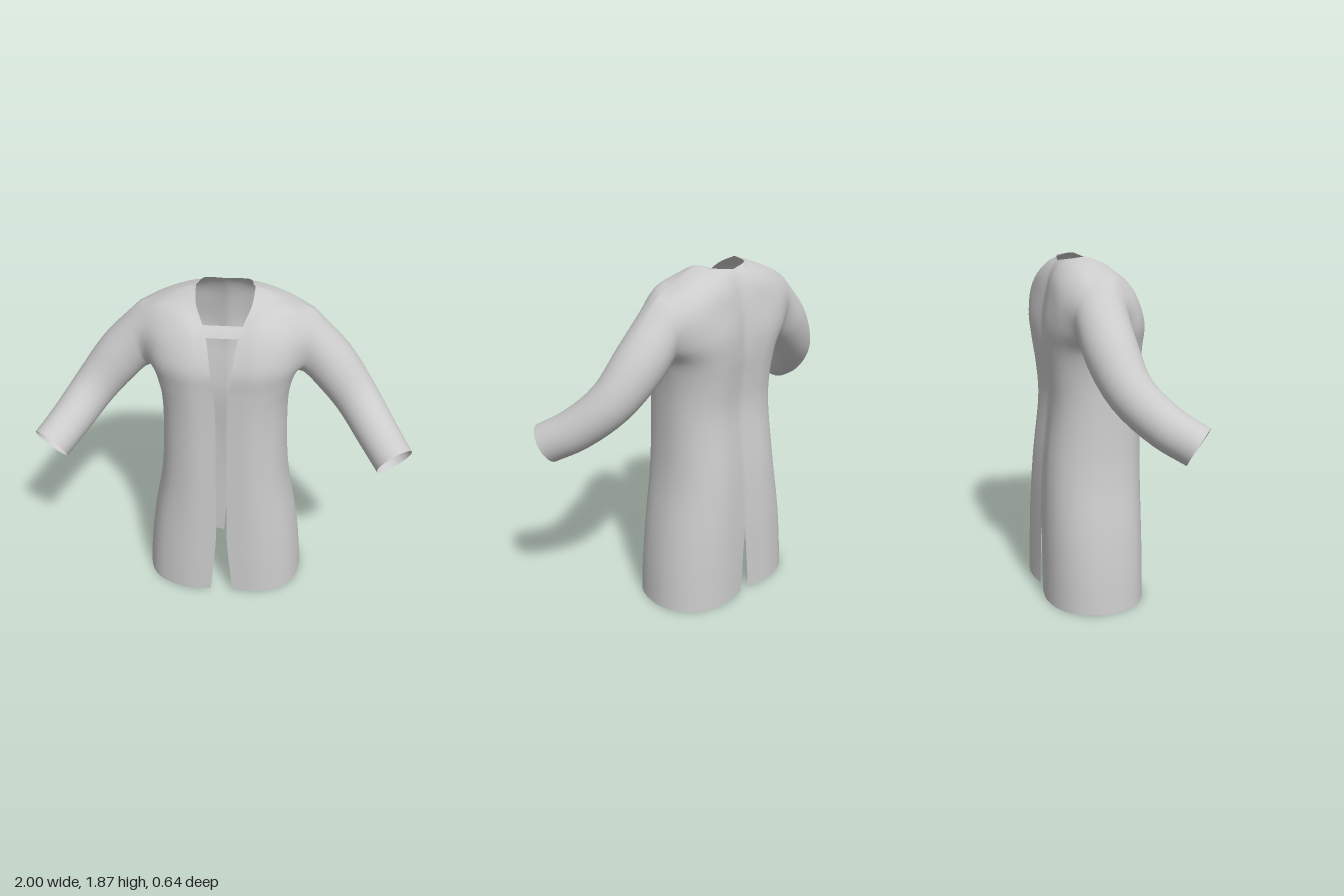
import * as THREE from 'three';
import { mergeGeometries, mergeVertices } from 'three/addons/utils/BufferGeometryUtils.js';

const SUB = 4; // subdivisions between control points
const V = (p) => new THREE.Vector3(...p);

// Smooth samples through control points, SUB steps per segment
function sample(points) {
  const curve = new THREE.CatmullRomCurve3(points);
  const n = (points.length - 1) * SUB;
  return Array.from({ length: n + 1 }, (_, i) => curve.getPoint(i / n));
}

// Smooths a stack of rows along its columns: result[j][i]
function smoothColumns(rows) {
  const cols = rows[0].map((_, i) => sample(rows.map((r) => r[i])));
  return cols[0].map((_, j) => cols.map((c) => c[j]));
}

// Triangulated sheet from a grid of points
function sheet(grid, flip) {
  const w = grid[0].length, index = [];
  for (let j = 0; j < grid.length - 1; j++) {
    for (let i = 0; i < w - 1; i++) {
      const a = j * w + i, b = a + 1, d = a + w, c = d + 1;
      index.push(...(flip ? [a, c, b, a, d, c] : [a, b, c, a, c, d]));
    }
  }
  const g = new THREE.BufferGeometry().setFromPoints(grid.flat());
  g.setIndex(index);
  return g;
}

const mirrored = (grid) => grid.map((r) => r.map((p) => new THREE.Vector3(-p.x, p.y, p.z)));

// Lower body sections: height, half width, front z, back z, front gap, back vent
const SECTIONS = [
  [0, 0.46, 0.235, -0.312, 0.065, 0.03],
  [0.2, 0.445, 0.235, -0.31, 0.046, 0.016],
  [0.43, 0.415, 0.233, -0.306, 0.03, 0],
  [0.75, 0.36, 0.232, -0.29, 0.03, 0],
  [1.1, 0.34, 0.23, -0.255, 0.03, 0],
  [1.28, 0.345, 0.232, -0.268, 0.031, 0],
  [1.4, 0.37, 0.235, -0.283, 0.04, 0],
];

// Chest rows from the front opening to the armhole, rising to the shoulder line
const CHEST = [
  [[0.055, 1.53, 0.235], [0.19, 1.53, 0.238], [0.33, 1.52, 0.17], [0.41, 1.47, 0.04]],
  [[0.08, 1.69, 0.17], [0.18, 1.68, 0.187], [0.32, 1.65, 0.15], [0.43, 1.58, 0.065]],
  [[0.1, 1.74, 0.13], [0.19, 1.755, 0.13], [0.32, 1.73, 0.095], [0.445, 1.66, 0.045]],
  [[0.14, 1.82, 0.055], [0.23, 1.81, 0.04], [0.34, 1.785, 0.02], [0.45, 1.72, -0.01]],
  [[0.15, 1.87, -0.05], [0.25, 1.835, -0.055], [0.35, 1.79, -0.065], [0.45, 1.75, -0.075]],
];

// Upper back rows from the armhole to the centre back, ending at shoulder and neck rim
const UPPER_BACK = [
  [[0.41, 1.47, -0.17], [0.37, 1.5, -0.22], [0.3, 1.52, -0.265], [0.19, 1.53, -0.29], [0.09, 1.53, -0.285], [0, 1.53, -0.265]],
  [[0.43, 1.58, -0.21], [0.37, 1.63, -0.235], [0.29, 1.65, -0.26], [0.18, 1.66, -0.268], [0.09, 1.66, -0.265], [0, 1.66, -0.25]],
  [[0.445, 1.66, -0.195], [0.37, 1.715, -0.205], [0.27, 1.75, -0.225], [0.17, 1.77, -0.235], [0.09, 1.76, -0.24], [0, 1.76, -0.225]],
  [[0.45, 1.72, -0.145], [0.36, 1.775, -0.145], [0.26, 1.815, -0.155], [0.16, 1.84, -0.165], [0.09, 1.825, -0.2], [0, 1.815, -0.2]],
  [[0.45, 1.75, -0.075], [0.35, 1.79, -0.065], [0.25, 1.835, -0.055], [0.15, 1.87, -0.05], [0.12, 1.862, -0.145], [0, 1.845, -0.18]],
];

// Sleeve centres and radii beyond the armhole, ending at the cuff
const SLEEVE = [
  [0.55, 1.45, -0.065, 0.135],
  [0.7, 1.27, -0.01, 0.118],
  [0.82, 1.13, 0.12, 0.11],
  [0.91, 1.045, 0.25, 0.105],
];

// Front and back panels of the left half, sharing side and shoulder seams
function bodyPanels() {
  const fronts = [], backs = [], seam = 3 * SUB;
  for (const [y, w, zf, zb, gap, vent] of SECTIONS) {
    const ring = sample([
      [gap, zf], [0.5 * w, zf - 0.003], [0.87 * w, 0.6 * zf], [w, -0.05],
      [0.92 * w, 0.6 * zb], [0.72 * w, 0.88 * zb], [0.45 * w, zb], [0.22 * w, 0.985 * zb], [vent, 0.94 * zb],
    ].map(([x, z]) => new THREE.Vector3(x, y, z)));
    fronts.push(ring.slice(0, seam + 1));
    backs.push(ring.slice(seam));
  }
  CHEST.forEach((row) => fronts.push(sample(row.map(V))));
  UPPER_BACK.forEach((row) => backs.push(sample(row.map(V))));
  const front = smoothColumns(fronts), back = smoothColumns(backs);

  const armpit = (SECTIONS.length - 1) * SUB, top = front.length - 1;
  for (let j = 0; j <= armpit; j++) back[j][0].copy(front[j][seam]);
  for (let i = 0; i <= seam; i++) back[top][i].copy(front[top][seam - i]);
  back.forEach((r) => { const p = r[r.length - 1]; p.x = Math.max(0, p.x); });
  for (let j = 2 * SUB; j <= top; j++) back[j][back[j].length - 1].x = 0;

  // Armhole loop: armpit, up the front, over the shoulder, down the back
  const armhole = [];
  for (let j = armpit; j <= top; j++) armhole.push(front[j][seam]);
  for (let j = top - 1; j >= armpit; j--) armhole.push(back[j][0]);
  return { front, back, armhole };
}

// Sleeve lofted from the armhole loop through round sections to the cuff
function sleeveGrid(armhole) {
  const path = new THREE.CatmullRomCurve3([V([0.41, 1.57, -0.07]), ...SLEEVE.map((s) => V(s.slice(0, 3)))]);
  const rings = [armhole];
  SLEEVE.forEach(([x, y, z, r], k) => {
    const last = k === SLEEVE.length - 1;
    const t = last ? V([0.51, -0.48, 0.7]).normalize() : path.getTangent((k + 1) / SLEEVE.length);
    const up = V([0.7, 0.7, 0]);
    up.addScaledVector(t, -up.dot(t)).normalize();
    const side = t.clone().cross(up);
    rings.push(armhole.map((_, i) => {
      const a = (i % (armhole.length - 1)) / (armhole.length - 1) * Math.PI * 2;
      return new THREE.Vector3(x, y, z)
        .addScaledVector(up, -r * Math.cos(a))
        .addScaledVector(side, r * Math.sin(a));
    }));
  });
  return smoothColumns(rings);
}

export function createModel() {
  const { front, back, armhole } = bodyPanels();
  const sleeve = sleeveGrid(armhole);

  // Strap joining the two fronts just below the neck
  const strapStart = SECTIONS.length * SUB + SUB;
  const strap = front.slice(strapStart, strapStart + SUB + 1).map(([p]) =>
    [-1, -0.5, 0, 0.5, 1].map((k) => new THREE.Vector3(p.x * k, p.y, p.z)));

  const parts = [['collarStrap', sheet(strap)]];
  for (const [name, grid, flip] of [['FrontPanel', front, false], ['BackPanel', back, false], ['Sleeve', sleeve, true]]) {
    parts.push(['left' + name, sheet(grid, flip)], ['right' + name, sheet(mirrored(grid), !flip)]);
  }

  // Weld everything for continuous normals, then give each part its own faces
  const welded = mergeVertices(mergeGeometries(parts.map((p) => p[1])), 1e-4);
  welded.computeVertexNormals();
  const all = Array.from(welded.index.array);
  const material = new THREE.MeshStandardMaterial({ color: 0xcccccc, side: THREE.DoubleSide });
  const coat = new THREE.Group();
  coat.name = 'coat';
  let start = 0;
  for (const [name, g] of parts) {
    const geometry = new THREE.BufferGeometry();
    geometry.setAttribute('position', welded.getAttribute('position'));
    geometry.setAttribute('normal', welded.getAttribute('normal'));
    geometry.setIndex(all.slice(start, start + g.index.count));
    start += g.index.count;
    const mesh = new THREE.Mesh(geometry, material);
    mesh.name = name;
    coat.add(mesh);
  }
  return coat;
}
